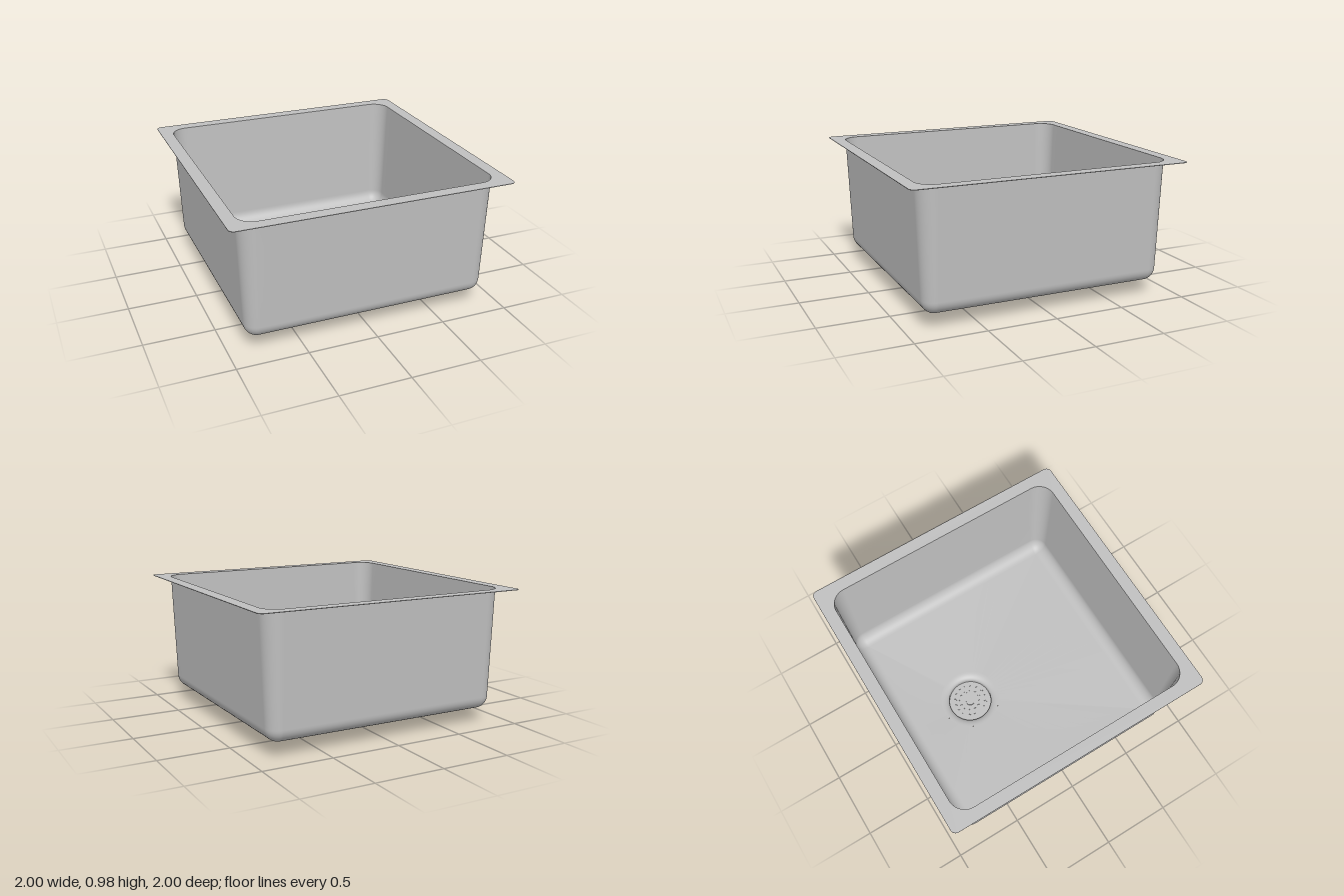
import * as THREE from 'three';

const TOP = 0.975, THICK = 0.004, CORE = 0.79, DRAIN_Z = -0.32;

// Closed loop around a square with rounded corners, sides subdivided
function squareLoop(core, r, y) {
  const pts = [], arc = 10, side = 14;
  for (let c = 0; c < 4; c++) {
    const a0 = c * Math.PI / 2;
    const cx = core * Math.SQRT2 * Math.cos(a0 + Math.PI / 4);
    const cz = core * Math.SQRT2 * Math.sin(a0 + Math.PI / 4);
    for (let i = 0; i <= arc; i++) {
      const a = a0 + (i / arc) * Math.PI / 2;
      pts.push(new THREE.Vector3(cx + r * Math.cos(a), y, cz + r * Math.sin(a)));
    }
    // straight run towards the next corner
    const end = pts[pts.length - 1].clone();
    const dir = new THREE.Vector3(-Math.sin(a0 + Math.PI / 2), 0, Math.cos(a0 + Math.PI / 2));
    dir.set(-Math.cos(a0), 0, -Math.sin(a0));
    for (let i = 1; i < side; i++) pts.push(end.clone().addScaledVector(dir, 2 * core * i / side));
  }
  return pts;
}

// Skin between successive loops with the same point count, facing inward and up
function skin(loops) {
  const n = loops[0].length, index = [];
  for (let k = 0; k < loops.length - 1; k++) {
    for (let i = 0; i < n; i++) {
      const a = k * n + i, b = k * n + (i + 1) % n;
      index.push(a, a + n, b, b, a + n, b + n);
    }
  }
  const g = new THREE.BufferGeometry().setFromPoints(loops.flat());
  g.setIndex(index);
  g.computeVertexNormals();
  return g;
}

function roundedSquare(PathType, half, r) {
  const p = new PathType(), c = half - r;
  p.absarc(c, c, r, 0, Math.PI / 2);
  p.absarc(-c, c, r, Math.PI / 2, Math.PI);
  p.absarc(-c, -c, r, Math.PI, Math.PI * 1.5);
  p.absarc(c, -c, r, Math.PI * 1.5, Math.PI * 2);
  p.closePath();
  return p;
}

export function createModel() {
  const group = new THREE.Group();
  group.name = 'sink';
  const steel = new THREE.MeshStandardMaterial({ color: 0xc0c0c0, side: THREE.DoubleSide });
  steel.name = 'brushed steel';
  const add = (name, geometry, y = 0, z = 0) => {
    const mesh = new THREE.Mesh(geometry, steel);
    mesh.name = name;
    mesh.position.set(0, y, z);
    group.add(mesh);
    return mesh;
  };

  // Thin flat rim around the opening
  const rim = roundedSquare(THREE.Shape, 1, 0.04);
  rim.holes.push(roundedSquare(THREE.Path, CORE + 0.12, 0.12));
  const rimGeo = new THREE.ExtrudeGeometry(rim, { depth: THICK, bevelEnabled: false, curveSegments: 10 });
  add('rim', rimGeo.rotateX(-Math.PI / 2), TOP - THICK);

  // Tapered walls running into the bottom fillet
  const walls = [];
  for (let i = 0; i <= 4; i++) {
    const t = i / 4;
    walls.push(squareLoop(CORE, 0.12 - 0.027 * t, THREE.MathUtils.lerp(TOP - 0.001, 0.195, t)));
  }
  for (let i = 1; i <= 10; i++) {
    const a = (i / 10) * Math.PI / 2;
    walls.push(squareLoop(CORE, Math.max(0.093 * Math.cos(a), 0.002), 0.195 - 0.095 * Math.sin(a)));
  }
  add('bowlWalls', skin(walls));

  // Floor falling from the fillet to the round drain opening
  const outer = walls[walls.length - 1];
  const inner = outer.map(p => {
    const a = Math.atan2(p.z - DRAIN_Z, p.x);
    return new THREE.Vector3(0.227 * Math.cos(a), 0.07, DRAIN_Z + 0.227 * Math.sin(a));
  });
  add('bowlFloor', skin([outer, inner]));

  // Flared drain neck
  const profile = [new THREE.Vector2(0.165, 0)];
  for (let i = 0; i <= 8; i++) {
    const a = (i / 8) * Math.PI / 2;
    profile.push(new THREE.Vector2(0.227 - 0.062 * Math.cos(a), 0.035 + 0.035 * Math.sin(a)));
  }
  add('drainNeck', new THREE.LatheGeometry(profile, 64), 0, DRAIN_Z);
  add('drainBase', new THREE.CircleGeometry(0.165, 64).rotateX(-Math.PI / 2), 0, DRAIN_Z);

  // Perforated strainer with a centre knob
  const plate = new THREE.Shape().absarc(0, 0, 0.164, 0, Math.PI * 2);
  for (const [count, radius, offset] of [[16, 0.12, 0.5], [12, 0.078, 0]]) {
    for (let i = 0; i < count; i++) {
      const a = ((i + offset) / count) * Math.PI * 2;
      plate.holes.push(new THREE.Path().absarc(radius * Math.cos(a), radius * Math.sin(a), 0.012, 0, Math.PI * 2));
    }
  }
  const plateGeo = new THREE.ExtrudeGeometry(plate, { depth: 0.004, bevelEnabled: false, curveSegments: 24 });
  add('strainer', plateGeo.rotateX(-Math.PI / 2), 0.003, DRAIN_Z);
  add('strainerKnob', new THREE.CylinderGeometry(0.033, 0.033, 0.01, 32), 0.011, DRAIN_Z);

  return group;
}
